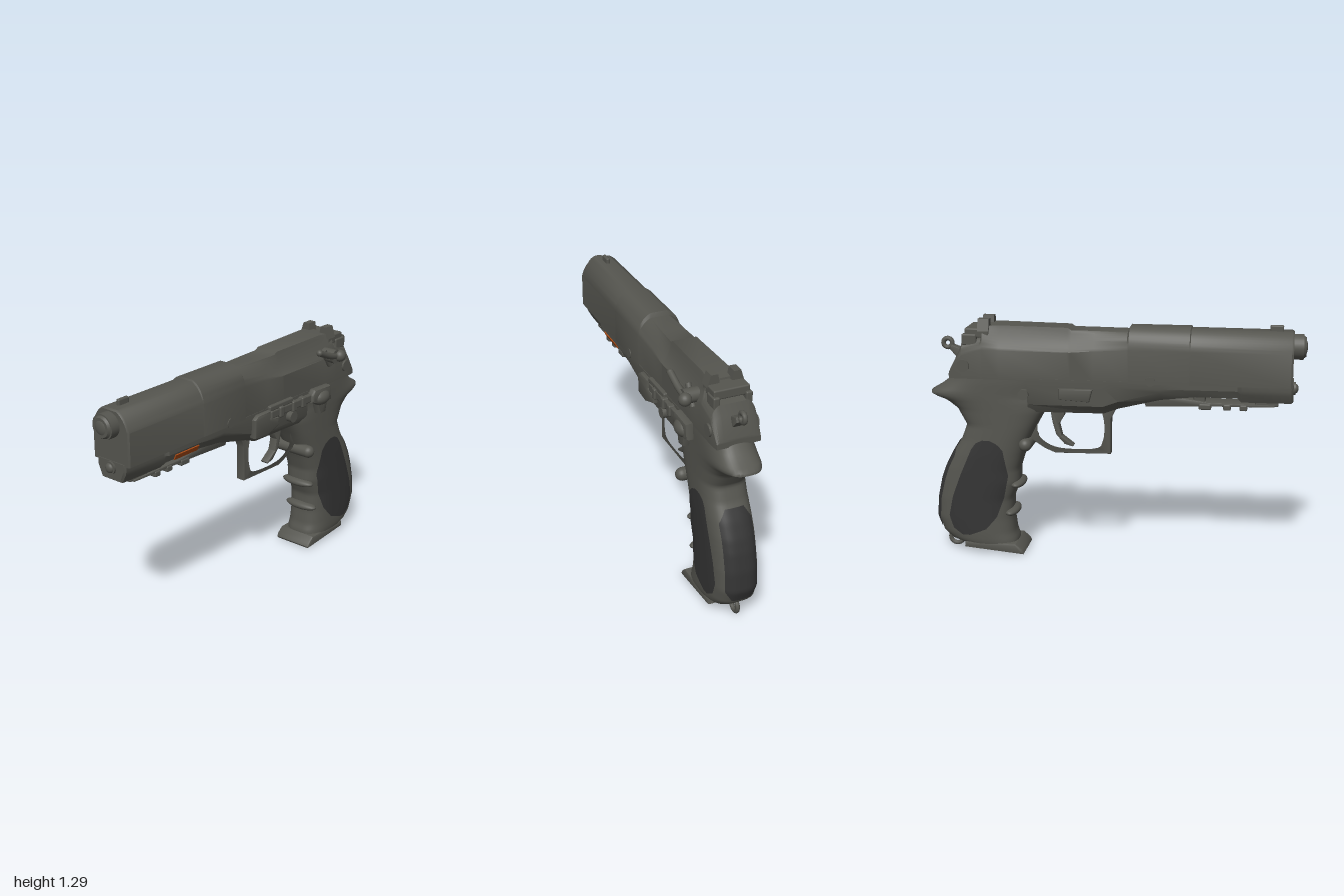
import * as THREE from 'three';
import { toCreasedNormals } from 'three/addons/utils/BufferGeometryUtils.js';
import { RoundedBoxGeometry } from 'three/addons/geometries/RoundedBoxGeometry.js';

const mat = (name, color) => Object.assign(new THREE.MeshStandardMaterial({ color }), { name });

// Linear lookup in rows [key, a, b, ...] with descending keys
function lookup(table, k) {
  let i = 0;
  while (i < table.length - 2 && k < table[i + 1][0]) i++;
  const a = table[i], b = table[i + 1];
  const t = THREE.MathUtils.clamp((a[0] - k) / (a[0] - b[0]), 0, 1);
  return a.slice(1).map((v, j) => v + (b[j + 1] - v) * t);
}

// Skin closed rings of [x, y, z] points, capped at both ends
function loft(rings, crease = 0.6) {
  const n = rings[0].length, pos = rings.flat(2), idx = [];
  const caps = [rings[0], rings[rings.length - 1]];
  for (const r of caps) for (let c = 0; c < 3; c++) pos.push(r.reduce((s, p) => s + p[c], 0) / n);
  for (let i = 0; i < rings.length - 1; i++) for (let j = 0; j < n; j++) {
    const a = i * n + j, b = i * n + (j + 1) % n;
    idx.push(a, b, a + n, b, b + n, a + n);
  }
  const last = (rings.length - 1) * n, c0 = rings.length * n;
  for (let j = 0; j < n; j++) {
    const k = (j + 1) % n;
    idx.push(c0, k, j, c0 + 1, last + j, last + k);
  }
  // Turn the faces outward if the enclosed volume is negative
  const v = (i) => new THREE.Vector3(pos[3 * i], pos[3 * i + 1], pos[3 * i + 2]);
  let vol = 0;
  for (let i = 0; i < idx.length; i += 3) vol += v(idx[i]).dot(v(idx[i + 1]).cross(v(idx[i + 2])));
  if (vol < 0) idx.reverse();
  const g = new THREE.BufferGeometry();
  g.setAttribute('position', new THREE.Float32BufferAttribute(pos, 3));
  g.setIndex(idx);
  return toCreasedNormals(g, crease);
}

// Mirror a half section of [x, y] points into a ring at z
const mirrorRing = (half, z) => [
  ...half.map(([x, y]) => [x, y, z]),
  ...half.slice().reverse().map(([x, y]) => [-x, y, z]),
];

// Grip: [y, front z, back z, half width]
const GRIP = [
  [1.0, -0.36, -0.86, 0.118], [0.95, -0.36, -0.9, 0.12], [0.92, -0.36, -0.94, 0.12],
  [0.885, -0.36, -1.0, 0.12], [0.87, -0.36, -0.985, 0.12], [0.845, -0.36, -0.91, 0.12],
  [0.8, -0.37, -0.85, 0.12], [0.71, -0.42, -0.8, 0.12], [0.63, -0.46, -0.83, 0.121],
  [0.55, -0.49, -0.88, 0.122], [0.47, -0.515, -0.92, 0.122], [0.4, -0.515, -0.945, 0.122],
  [0.3, -0.555, -0.967, 0.122], [0.19, -0.555, -0.975, 0.122], [0.11, -0.545, -0.945, 0.122],
  [0.07, -0.53, -0.9, 0.12], [0.045, -0.53, -0.82, 0.115],
];
const round3 = (u) => Math.cbrt(Math.max(0, 1 - Math.abs(u) ** 3));

// Grid patch: f(u, v) gives a point for u, v in 0..1
function patch(f, nu = 14, nv = 30) {
  const g = new THREE.PlaneGeometry(1, 1, nu, nv), p = g.attributes.position;
  for (let i = 0; i < p.count; i++) p.setXYZ(i, ...f(p.getX(i) + 0.5, p.getY(i) + 0.5));
  g.computeVertexNormals();
  return g;
}

export function createModel() {
  const steel = mat('gunmetal', 0x55554f);
  const rubber = mat('dark grip rubber', 0x343434);
  rubber.side = THREE.DoubleSide;
  const orange = mat('orange mark', 0xa84a14);
  const root = new THREE.Group(), body = new THREE.Group();
  root.name = 'pistol';
  body.name = 'pistolBody';
  body.position.x = -0.04;
  root.add(body);

  const add = (name, geo, x = 0, y = 0, z = 0, m = steel) => {
    const mesh = new THREE.Mesh(geo, m);
    mesh.name = name;
    mesh.position.set(x, y, z);
    body.add(mesh);
    return mesh;
  };
  const box = (name, w, h, d, x, y, z, r = 0.008) =>
    add(name, new RoundedBoxGeometry(w, h, d, 2, Math.min(r, w / 3, h / 3, d / 3)), x, y, z);
  const rod = (name, r, len, axis, x, y, z, r2 = r) => {
    const g = new THREE.CylinderGeometry(r2, r, len, 28);
    axis === 'x' ? g.rotateZ(-Math.PI / 2) : g.rotateX(Math.PI / 2);
    return add(name, g, x, y, z);
  };
  // Side profile of [z, y] points extruded across x
  const plate = (name, pts, width, x = 0, bevel = 0.006, hole = null) => {
    const toV = (a) => a.map(([z, y]) => new THREE.Vector2(z, y));
    const s = new THREE.Shape(toV(pts));
    if (hole) s.holes.push(new THREE.Path(new THREE.SplineCurve(toV([...hole, hole[0]])).getPoints(48)));
    const g = new THREE.ExtrudeGeometry(s, {
      depth: width - 2 * bevel, bevelThickness: bevel, bevelSize: bevel, bevelOffset: -bevel, bevelSegments: 2,
    });
    g.translate(0, 0, bevel - width / 2).rotateY(-Math.PI / 2);
    return add(name, toCreasedNormals(g, 0.6), x);
  };
  const tube = (name, pts, r) => add(name, new THREE.TubeGeometry(
    new THREE.CatmullRomCurve3(pts.map((p) => new THREE.Vector3(...p))), 16, r, 10));

  // Slide: [z, shoulder y, top half width, top y, shoulder bulge, half width]
  const slide = [
    [0.93, 1.15, 0.045, 1.243, 0.75, 0.113], [0.92, 1.15, 0.045, 1.25, 0.75, 0.12],
    [0.405, 1.15, 0.045, 1.252, 0.75, 0.12], [0.4, 1.15, 0.045, 1.26, 0.8, 0.122],
    [0.085, 1.15, 0.045, 1.26, 0.8, 0.122], [0.075, 1.15, 0.05, 1.237, 0.75, 0.12],
    [-0.1, 1.14, 0.06, 1.237, 0.55, 0.12], [-0.22, 1.13, 0.065, 1.237, 0.35, 0.12],
    [-0.24, 1.13, 0.065, 1.25, 0.3, 0.12], [-0.6, 1.13, 0.07, 1.255, 0.4, 0.12],
    [-0.69, 1.13, 0.08, 1.25, 0.6, 0.12], [-0.7, 1.13, 0.08, 1.19, 0.7, 0.12],
    [-0.8, 1.1, 0.08, 1.17, 0.7, 0.12], [-0.82, 1.08, 0.07, 1.12, 0.7, 0.12],
    [-0.87, 1.0, 0.07, 1.02, 0.7, 0.115],
  ].map(([z, sh, tw, top, k, w]) => {
    const half = [[w, 0.975]];
    for (let i = 0; i <= 8; i++) {
      const t = i / 8, cx = tw + (w - tw) * k, cy = sh + (top - sh) * k;
      half.push([
        (1 - t) ** 2 * w + 2 * t * (1 - t) * cx + t * t * tw,
        (1 - t) ** 2 * sh + 2 * t * (1 - t) * cy + t * t * top,
      ]);
    }
    return mirrorRing(half, z);
  });
  add('slide', loft(slide));

  // Frame under the slide: [z, bottom y, half width, bottom half width]
  add('frame', loft([
    [0.935, 0.89, 0.085, 0.06], [0.925, 0.883, 0.095, 0.065], [0.67, 0.883, 0.1, 0.07],
    [0.65, 0.908, 0.115, 0.09], [0.43, 0.908, 0.118, 0.09], [0.25, 0.885, 0.12, 0.08],
    [0.03, 0.83, 0.122, 0.075], [-0.05, 0.8, 0.122, 0.075], [-0.45, 0.8, 0.122, 0.09],
  ].map(([z, b, w, wb]) => mirrorRing([[wb, b], [w - 0.006, b + 0.045], [w, 0.95], [w, 0.985]], z))));

  // Muzzle and guide rod
  rod('muzzleBushing', 0.066, 0.08, 'z', 0, 1.17, 0.94);
  rod('muzzleCollar', 0.06, 0.015, 'z', 0, 1.17, 0.985, 0.05);
  add('muzzlePlug', new THREE.SphereGeometry(0.045, 28, 16).scale(1, 1, 0.45), 0, 1.17, 0.98);
  rod('guideRodCollar', 0.034, 0.02, 'z', 0, 0.95, 0.935);
  add('guideRodTip', new THREE.SphereGeometry(0.026, 20, 12).scale(1, 1, 0.7), 0, 0.95, 0.942);

  // Accessory rail and orange mark
  plate('rail', [[0.84, 0.858], [0.84, 0.868], [0.5, 0.872], [0.3, 0.9], [0.15, 0.9], [0.17, 0.842], [0.45, 0.852]], 0.12, 0, 0.003);
  for (const z of [0.68, 0.595, 0.48]) box('railTooth', 0.13, 0.032, z < 0.5 ? 0.065 : 0.04, 0, 0.85, z);
  box('railPost', 0.09, 0.05, 0.06, 0, 0.89, 0.45);
  box('railNose', 0.1, 0.035, 0.12, 0, 0.875, 0.8);
  const mark = add('orangeMark', new THREE.BoxGeometry(0.006, 0.032, 0.17), 0.104, 0.923, 0.515, orange);
  mark.rotation.z = -0.45;

  // Grip
  const rings = [];
  for (let i = 0; i <= 70; i++) {
    const y = 1.0 - (0.955 * i) / 70, [f, b, w] = lookup(GRIP, y), ring = [];
    for (let j = 0; j < 48; j++) {
      const a = (j / 48) * Math.PI * 2, c = Math.cos(a), s = Math.sin(a);
      const e = (v) => Math.sign(v) * Math.abs(v) ** (2 / 3);
      ring.push([w * e(s), y, (f + b) / 2 + ((f - b) / 2) * e(c)]);
    }
    rings.push(ring);
  }
  add('grip', loft(rings, 0.9));

  // Side panels: [y, front z, back z]
  const PANEL = [
    [0.64, -0.66, -0.7], [0.63, -0.63, -0.73], [0.59, -0.59, -0.76], [0.44, -0.565, -0.825],
    [0.32, -0.59, -0.87], [0.21, -0.63, -0.893], [0.14, -0.69, -0.87], [0.105, -0.78, -0.82],
  ];
  for (const side of [1, -1]) add(side > 0 ? 'leftGripPanel' : 'rightGripPanel', patch((u, v) => {
    const y = 0.105 + 0.535 * v, [pf, pb] = lookup(PANEL, y), [f, b, w] = lookup(GRIP, y);
    const z = pf + (pb - pf) * u;
    return [side * (w * round3((z - (f + b) / 2) / ((f - b) / 2)) + 0.004), y, z];
  }), 0, 0, 0, rubber);
  // Backstrap panel
  add('backGripPanel', patch((u, v) => {
    const y = 0.13 + 0.48 * v, [f, b, w] = lookup(GRIP, y);
    const x = (u - 0.5) * 2 * Math.min(0.088, 0.05 + 0.6 * Math.min(y - 0.13, 0.61 - y));
    return [x, y, (f + b) / 2 - ((f - b) / 2) * round3(x / w) - 0.005];
  }), 0, 0, 0, rubber);

  // Finger ridges, magazine base and lanyard ring
  for (const [y, z] of [[0.385, -0.53], [0.225, -0.565]])
    add('fingerRidge', new THREE.SphereGeometry(1, 24, 14).scale(0.105, 0.025, 0.042), 0, y, z);
  add('guardButton', new THREE.CapsuleGeometry(0.035, 0.2, 8, 20).rotateZ(Math.PI / 2), 0.012, 0.615, -0.472);
  plate('magazineBase', [[-0.485, 0.01], [-0.495, 0.03], [-0.53, 0.06], [-0.81, 0.065], [-0.815, 0.03], [-0.49, 0]], 0.236, 0, 0.012);
  add('lanyardRing', new THREE.TorusGeometry(0.036, 0.012, 10, 28).rotateY(Math.PI / 2), 0, 0.048, -0.885);

  // Trigger guard and trigger
  plate('triggerGuard', [
    [0.03, 0.84], [0, 0.8], [-0.018, 0.76], [-0.02, 0.565], [-0.32, 0.56], [-0.38, 0.585],
    [-0.44, 0.625], [-0.48, 0.62], [-0.48, 0.84],
  ], 0.055, 0, 0.006, [
    [-0.06, 0.795], [-0.048, 0.73], [-0.055, 0.64], [-0.1, 0.588], [-0.3, 0.585], [-0.4, 0.635],
    [-0.422, 0.7], [-0.4, 0.77], [-0.36, 0.795], [-0.2, 0.797],
  ]);
  plate('trigger', [
    [-0.265, 0.82], [-0.27, 0.77], [-0.3, 0.72], [-0.285, 0.655], [-0.22, 0.605], [-0.225, 0.597],
    [-0.27, 0.61], [-0.315, 0.66], [-0.335, 0.73], [-0.35, 0.82],
  ], 0.05, 0, 0.006);

  // Sights
  box('frontSight', 0.022, 0.04, 0.07, 0, 1.26, 0.84);
  box('rearSightBase', 0.19, 0.05, 0.13, 0, 1.215, -0.72);
  for (const s of [1, -1]) {
    const blade = new THREE.Shape([[0.03, 1.225], [0.098, 1.225], [0.078, 1.288], [0.042, 1.288]].map(([x, y]) => new THREE.Vector2(s * x, y)));
    add('rearSightBlade', new THREE.ExtrudeGeometry(blade, { depth: 0.06, bevelEnabled: false }), 0, 0, -0.715);
    box('rearSightScrew', 0.035, 0.06, 0.08, s * 0.085, 1.18, -0.76);
    rod('framePin', 0.033, 0.025, 'x', s * 0.118, 1.045, -0.79);
    rod('slidePin', 0.025, 0.012, 'x', s * 0.12, 0.99, 0.2);
  }

  // Hammer
  add('hammerRing', new THREE.TorusGeometry(0.024, 0.013, 10, 24).rotateY(Math.PI / 2), 0, 1.142, -0.9);
  plate('hammerArm', [[-0.78, 1.0], [-0.78, 1.1], [-0.875, 1.135], [-0.885, 1.11], [-0.84, 1.06], [-0.85, 1.0]], 0.05);

  // Decocking lever
  rod('leverPivot', 0.038, 0.08, 'x', 0.14, 1.15, -0.62);
  add('leverKnob', new THREE.SphereGeometry(0.034, 20, 14), 0.181, 1.15, -0.65);
  tube('leverArm', [[0.17, 1.145, -0.65], [0.175, 1.17, -0.56], [0.178, 1.208, -0.47]], 0.018);
  add('leverTip', new THREE.SphereGeometry(0.018, 14, 10), 0.178, 1.208, -0.47);
  tube('leverBranch', [[0.13, 1.19, -0.57], [0.13, 1.14, -0.6], [0.13, 1.09, -0.63]], 0.016);

  // Slide stop and controls on the lever side
  plate('slideStopBlock', [[0.03, 0.955], [0.0, 0.975], [-0.1, 0.975], [-0.1, 0.93], [-0.17, 0.92], [-0.17, 0.875], [-0.07, 0.84], [0.025, 0.85]], 0.05, 0.122, 0.012);
  box('slideStopBar', 0.04, 0.045, 0.36, 0.122, 0.945, -0.29);
  box('slideStopBarUpper', 0.034, 0.03, 0.2, 0.122, 0.98, -0.2);
  for (const z of [-0.19, -0.3, -0.38]) box('slideStopTab', 0.055, 0.06, 0.035, 0.125, 0.945, z);
  rod('takedownKnob', 0.03, 0.04, 'x', 0.13, 0.885, -0.29);
  plate('thumbSafety', [[-0.45, 0.96], [-0.47, 0.99], [-0.61, 0.985], [-0.62, 0.9], [-0.58, 0.89], [-0.57, 0.84], [-0.52, 0.835], [-0.5, 0.9], [-0.45, 0.92]], 0.06, 0.13, 0.016);
  add('thumbSafetyPad', new THREE.SphereGeometry(1, 20, 14).scale(0.045, 0.045, 0.065), 0.138, 0.93, -0.54);

  // Controls on the far side
  plate('farSidePlate', [[-0.1, 0.94], [-0.28, 0.94], [-0.28, 0.88], [-0.12, 0.87]], 0.03, -0.12, 0.008);
  rod('farSidePin', 0.028, 0.03, 'x', -0.12, 0.9, -0.47);
  return root;
}
